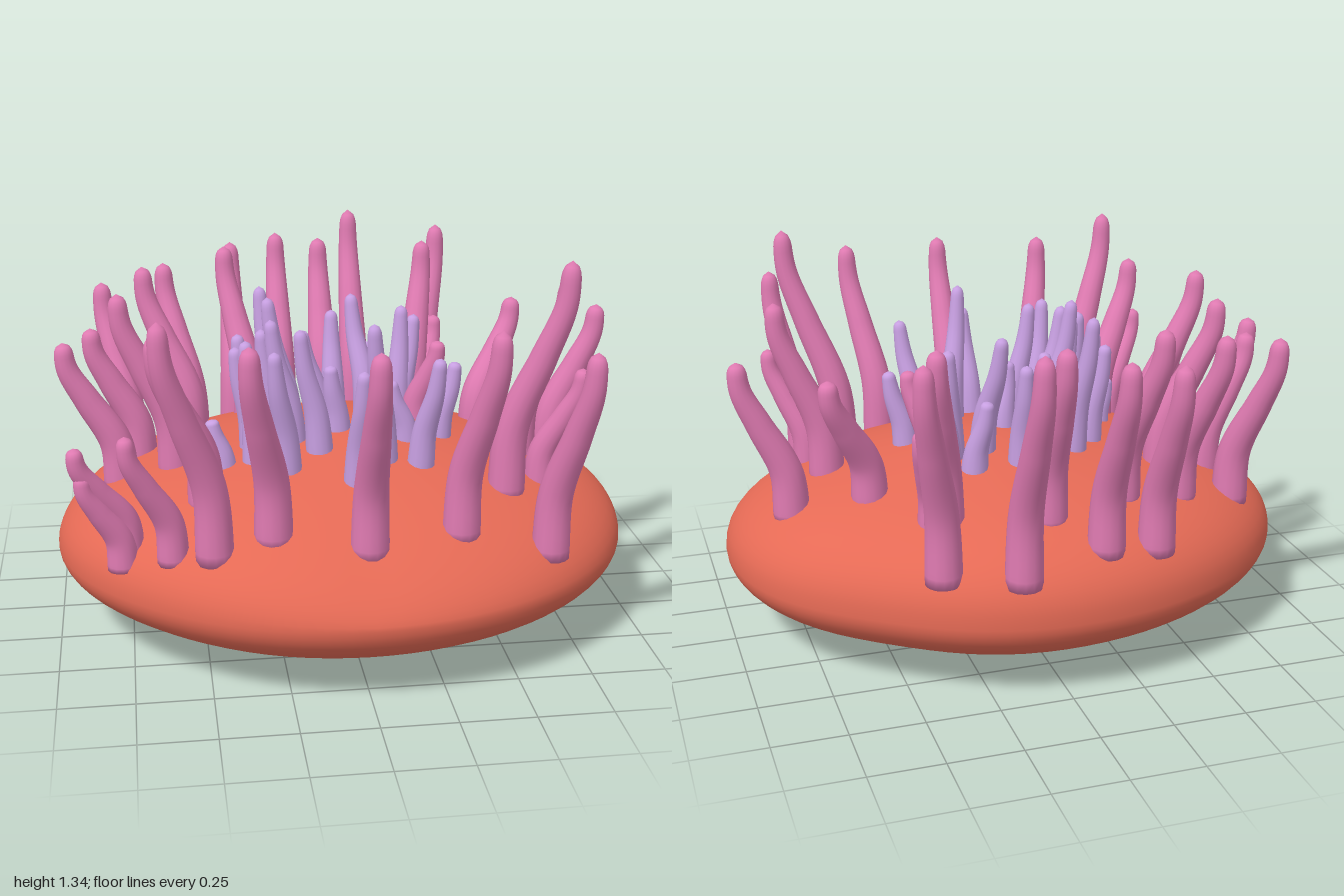
import * as THREE from 'three';
import { mergeVertices } from 'three/addons/utils/BufferGeometryUtils.js';

const makeMaterial = (name, color) => {
  const m = new THREE.MeshStandardMaterial({ color });
  m.name = name;
  return m;
};

// Slightly uneven oval outline of the body, as a factor on an ellipse
const CZ = 0.065, RX = 1, RZ = 0.858, RIM = 0.29;
function outline(a) {
  const dent = (x, z, depth, width) => {
    const d = Math.cos(a - Math.atan2(z, x));
    return depth * Math.exp((d - 1) / width);
  };
  return 1 + dent(-0.65, 0.63, -0.018, 0.08) + dent(0.55, -0.68, -0.04, 0.06);
}

// Height of the domed top: s runs from 0 in the middle to 1 at the rim; fuller at the back and front right
function domeHeight(x, z, s) {
  const n = 2 + 0.2 * Math.max(0, x) - 0.45 * z - Math.min(0, x) * Math.max(0, z);
  const bump = 0.04 * Math.exp(-((x - 0.15) ** 2 + z * z) / 0.12);
  return RIM + 0.35 * Math.max(0, 1 - Math.min(1, s) ** n) ** (1 / n) + bump * (1 - Math.min(1, s));
}

function surfaceHeight(x, z) {
  const nx = x / RX, nz = (z - CZ) / RZ;
  return domeHeight(x, z, Math.hypot(nx, nz) / outline(Math.atan2(nz, nx)));
}

// Drop texture coordinates and weld seams so the shading is smooth
function smooth(geometry) {
  geometry.deleteAttribute('uv');
  geometry.deleteAttribute('normal');
  const welded = mergeVertices(geometry, 1e-5);
  welded.computeVertexNormals();
  return welded;
}

function bodyGeometry() {
  const g = new THREE.SphereGeometry(1, 80, 40);
  const p = g.attributes.position;
  for (let i = 0; i < p.count; i++) {
    const nx = p.getX(i), ny = p.getY(i), nz = p.getZ(i);
    const s = Math.min(1, Math.hypot(nx, nz));
    const f = outline(Math.atan2(nz, nx));
    const x = nx * f * RX, z = CZ + nz * f * RZ;
    const y = ny > 1e-6 ? domeHeight(x, z, s) : RIM * (1 + ny);
    p.setXYZ(i, x, y, z);
  }
  return smooth(g);
}

// Tapered, round-tipped tube that rises, sways outward and straightens again
function tentacleGeometry([bx, bz, tx, tz, tipY], radius, taper, sway) {
  const by = surfaceHeight(bx, bz) - 0.04;
  const points = sway.map(([h, lean]) => new THREE.Vector3(
    bx + (tx - bx) * lean, by + (tipY - by) * h, bz + (tz - bz) * lean));
  const curve = new THREE.CatmullRomCurve3(points);
  const rows = 46, sides = 14, cap = 0.93;
  const g = new THREE.TubeGeometry(curve, rows, 1, sides);
  const p = g.attributes.position, v = new THREE.Vector3();
  const start = curve.getPointAt(0);
  for (let i = 0; i <= rows; i++) {
    const t = Math.max(0, i - 1) / (rows - 1);
    const centre = curve.getPointAt(i / rows);
    const round = Math.sqrt(Math.max(0, 1 - Math.max(0, (t - cap) / (1 - cap)) ** 2));
    // The first row closes the foot
    const r = i === 0 ? 0 : radius * (1 - taper * t ** 1.3) * round;
    for (let j = 0; j <= sides; j++) {
      const k = i * (sides + 1) + j;
      v.fromBufferAttribute(p, k).sub(centre).multiplyScalar(r).add(i === 1 ? start : centre);
      p.setXYZ(k, v.x, v.y, v.z);
    }
  }
  return smooth(g);
}

// Each row: foot x, foot z, tip x, tip z, tip height
const BACK_OUTER = [
  [-0.32, -0.64, -0.32, -0.82, 1.14], [-0.14, -0.65, -0.14, -0.83, 1.17],
  [0.16, -0.71, 0.16, -0.90, 1.24], [0.01, -0.51, 0.01, -0.67, 1.18],
  [0.40, -0.62, 0.49, -0.76, 1.20], [0.34, -0.43, 0.40, -0.57, 1.18],
  [0.38, -0.42, 0.44, -0.51, 0.90], [-0.28, -0.42, -0.36, -0.57, 1.18],
  [-0.50, -0.39, -0.59, -0.54, 1.13], [-0.73, -0.32, -0.82, -0.47, 1.08],
  [-0.51, -0.20, -0.67, -0.28, 1.18], [-0.70, -0.14, -0.86, -0.13, 1.00],
  [0.79, -0.08, 0.95, -0.07, 1.04], [0.54, -0.19, 0.69, -0.29, 1.02],
  [0.29, -0.07, 0.36, -0.02, 0.94],
];
const FRONT_OUTER = [
  [-0.77, 0.03, -0.95, 0.04, 1.00], [-0.58, 0.10, -0.76, 0.10, 1.18],
  [-0.49, 0.40, -0.65, 0.49, 1.14], [-0.75, 0.49, -0.91, 0.57, 0.81],
  [-0.77, 0.52, -0.89, 0.57, 0.72], [-0.61, 0.60, -0.75, 0.68, 0.88],
  [-0.48, 0.65, -0.64, 0.76, 1.26], [-0.29, 0.63, -0.37, 0.78, 1.18],
  [0.01, 0.70, 0.01, 0.89, 1.18], [0.32, 0.63, 0.40, 0.78, 1.20],
  [0.62, 0.63, 0.70, 0.78, 1.12], [0.52, 0.40, 0.69, 0.49, 1.34],
  [0.66, 0.30, 0.78, 0.37, 0.94], [0.63, 0.10, 0.79, 0.11, 1.18],
];
const INNER = [
  [-0.21, -0.12, -0.26, -0.18, 1.12], [-0.05, -0.08, -0.12, -0.08, 0.98],
  [0.01, -0.21, 0.01, -0.27, 1.00], [0.18, -0.21, 0.14, -0.25, 0.88],
  [0.12, -0.10, 0.07, -0.19, 1.08], [0.24, -0.12, 0.30, -0.17, 1.00],
  [-0.30, -0.03, -0.35, -0.06, 0.98], [-0.17, 0.04, -0.25, 0.02, 1.13],
  [-0.31, 0.10, -0.37, 0.10, 0.98], [-0.22, 0.10, -0.28, 0.10, 1.04],
  [-0.17, 0.12, -0.25, 0.13, 1.08], [-0.01, 0.08, -0.04, 0.10, 0.90],
  [-0.42, 0.21, -0.46, 0.21, 0.76], [-0.31, 0.22, -0.34, 0.20, 1.03],
  [-0.09, 0.22, -0.16, 0.23, 1.07], [-0.21, 0.32, -0.26, 0.38, 1.04],
  [0.12, 0.30, 0.07, 0.37, 1.12], [0.24, 0.32, 0.29, 0.39, 1.00],
  [0.01, 0.42, 0.02, 0.50, 1.00], [0.22, 0.16, 0.16, 0.17, 0.86],
  [0.34, 0.10, 0.40, 0.11, 0.90], [0.23, -0.11, 0.25, -0.15, 1.04],
];

export function createModel() {
  const coral = makeMaterial('coral', 0xe56a55);
  const pink = makeMaterial('pink', 0xe07bb2);
  const lilac = makeMaterial('lilac', 0xc8a0e2);
  const model = new THREE.Group();
  model.name = 'seaAnemone';

  const add = (parent, name, geometry, material) => {
    const mesh = new THREE.Mesh(geometry, material);
    mesh.name = name;
    parent.add(mesh);
  };
  add(model, 'body', bodyGeometry(), coral);

  // Outer ring of long swaying tentacles
  const outer = new THREE.Group();
  outer.name = 'outerTentacles';
  const outerSway = [[0, 0], [0.3, 0.08], [0.6, 0.58], [0.82, 0.93], [1, 1]];
  for (const row of [...BACK_OUTER, ...FRONT_OUTER]) {
    const radius = row[4] < 0.95 ? 0.053 : 0.063;
    add(outer, 'outerTentacle', tentacleGeometry(row, radius, 0.52, outerSway), pink);
  }

  // Inner cluster of slim, nearly straight tentacles
  const inner = new THREE.Group();
  inner.name = 'innerTentacles';
  const innerSway = [[0, 0], [0.35, 0.2], [0.7, 0.75], [1, 1]];
  for (const row of INNER) {
    add(inner, 'innerTentacle', tentacleGeometry(row, 0.048, 0.55, innerSway), lilac);
  }
  model.add(outer, inner);
  return model;
}
